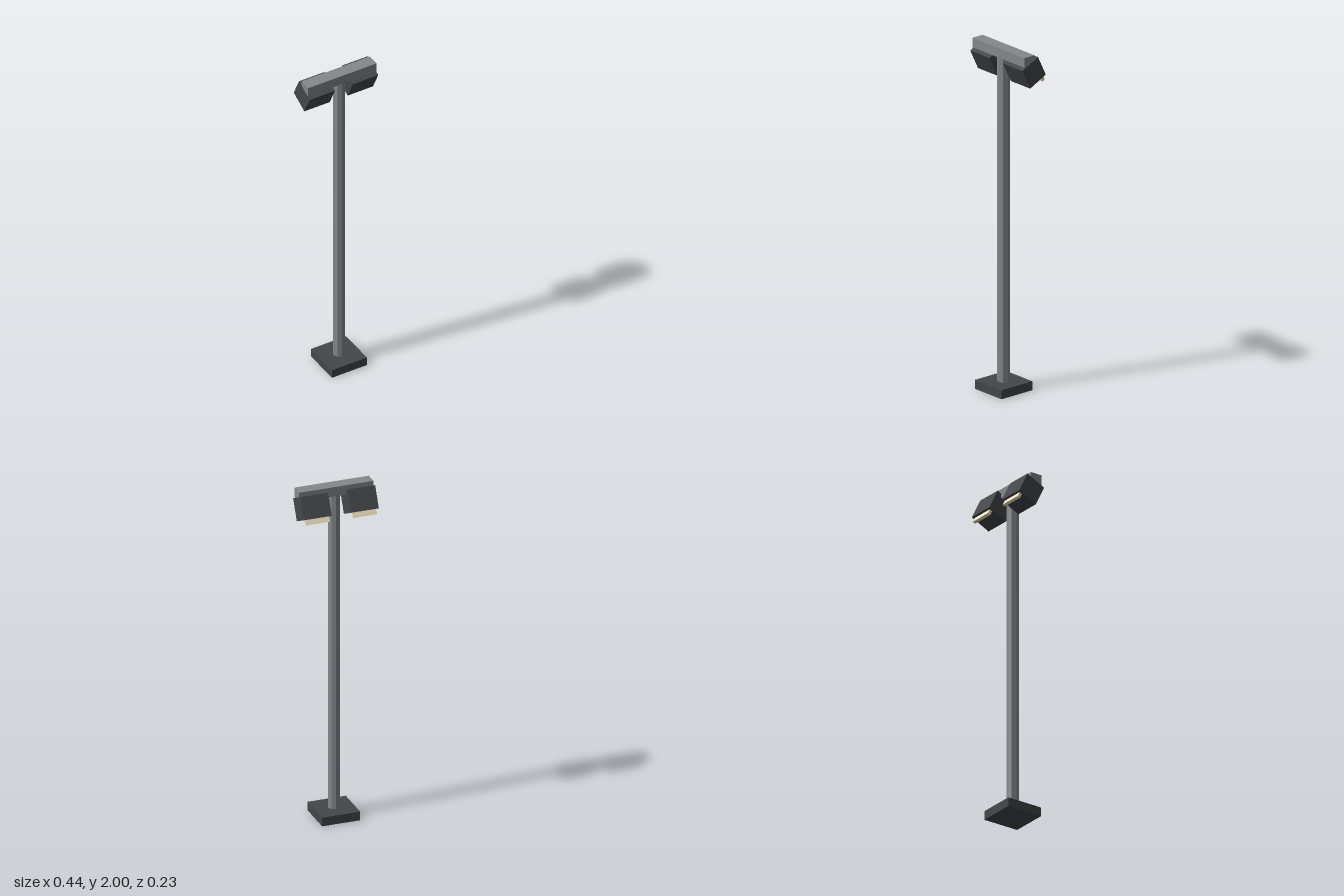
import * as THREE from 'three';

const steel = new THREE.MeshStandardMaterial({ color: 0x85888c, flatShading: true });
const dark = new THREE.MeshStandardMaterial({ color: 0x44464a, flatShading: true });
const cream = new THREE.MeshStandardMaterial({ color: 0xf2e6c4, flatShading: true });

function add(parent, name, geometry, material, x, y, z) {
  const mesh = new THREE.Mesh(geometry, material);
  mesh.name = name;
  mesh.position.set(x, y, z);
  parent.add(mesh);
  return mesh;
}

export function createModel() {
  const model = new THREE.Group();
  model.name = 'twinFloodlightPole';
  const axisZ = 0.002;
  const baseH = 0.052, armH = 0.056, poleTop = 2 - armH;

  // Square foot, eight-sided pole and crossbar
  add(model, 'base', new THREE.BoxGeometry(0.223, baseH, 0.223), dark, 0, baseH / 2, axisZ);
  add(model, 'pole', new THREE.CylinderGeometry(0.035, 0.035, poleTop - baseH, 8), steel,
    0, (poleTop + baseH) / 2, axisZ);
  add(model, 'crossbar', new THREE.BoxGeometry(0.436, armH, 0.073), steel, 0, 2 - armH / 2, axisZ);

  // Two tilted lamp heads, each with a thin light panel below its rear edge
  for (const side of [-1, 1]) {
    const head = new THREE.Group();
    head.name = side > 0 ? 'leftLamp' : 'rightLamp';
    head.position.set(side * 0.138, 1.899, -0.03);
    head.rotation.x = THREE.MathUtils.degToRad(26);
    add(head, 'housing', new THREE.BoxGeometry(0.162, 0.129, 0.126), dark, 0, 0, 0);
    add(head, 'lightPanel', new THREE.BoxGeometry(0.14, 0.04, 0.017), cream, 0, -0.075, -0.042);
    model.add(head);
  }
  return model;
}
